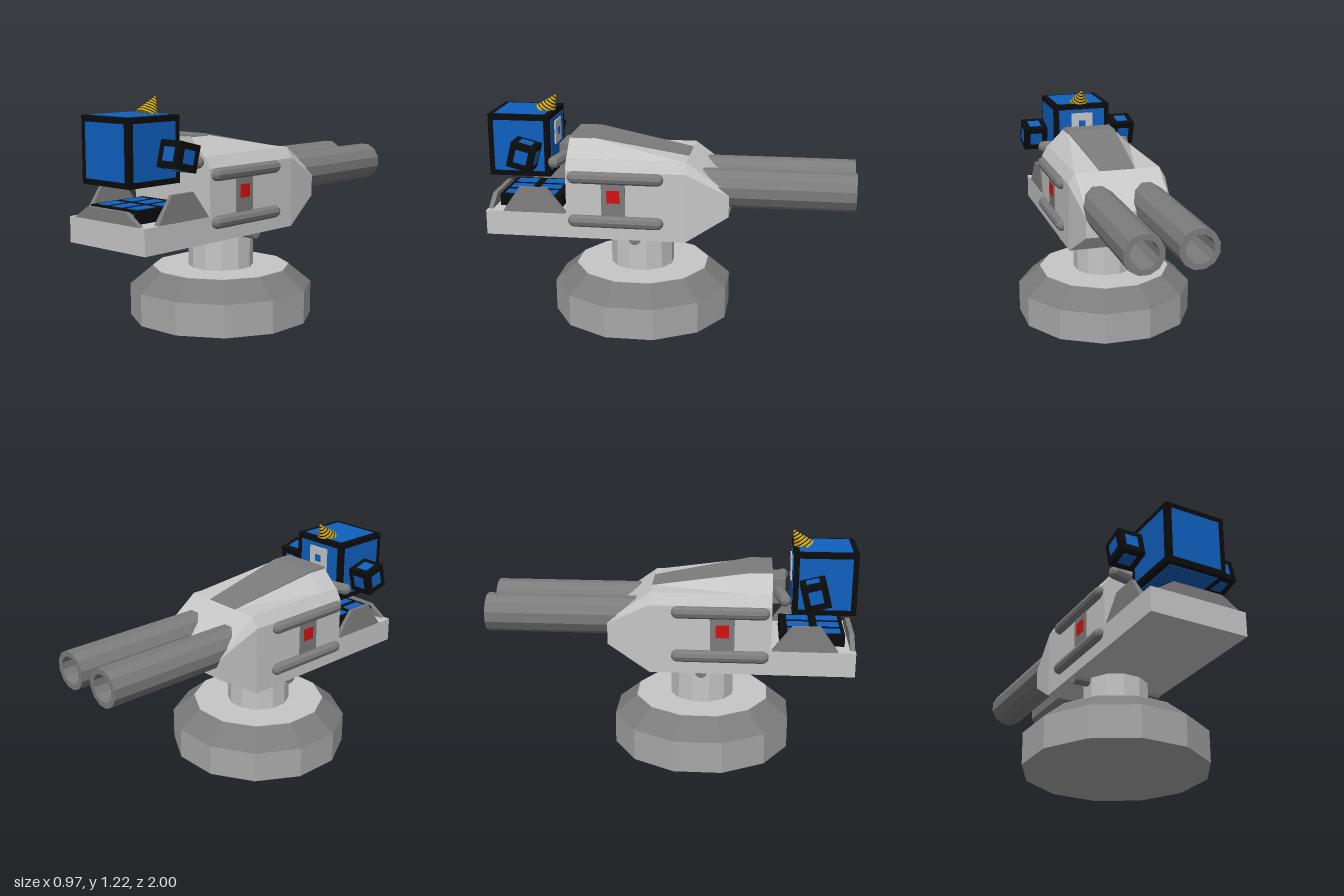
import * as THREE from 'three';

const mat = (name, color, side = THREE.FrontSide) => {
  const m = new THREE.MeshStandardMaterial({ color, flatShading: true, side });
  m.name = name;
  return m;
};

export function createModel() {
  const light = mat('light grey', 0xc6c6c6), mid = mat('mid grey', 0xa8a8a8);
  const dark = mat('dark grey', 0x7c7c7c, THREE.DoubleSide);
  const black = mat('black', 0x0c0c0c), blue = mat('blue', 0x0f60c0);
  const red = mat('red', 0xd41010), gold = mat('gold', 0xc4a010);
  const root = new THREE.Group();
  root.name = 'turret';

  const add = (name, geo, m, x = 0, y = 0, z = 0, parent = root) => {
    const mesh = new THREE.Mesh(geo, m);
    mesh.name = name;
    mesh.position.set(x, y, z);
    parent.add(mesh);
    return mesh;
  };
  const box = (name, w, h, d, m, x, y, z, parent) =>
    add(name, new THREE.BoxGeometry(w, h, d), m, x, y, z, parent);
  const drum = (name, rTop, rBottom, y0, y1, m) =>
    add(name, new THREE.CylinderGeometry(rTop, rBottom, y1 - y0, 12).rotateY(Math.PI / 12), m, 0, (y0 + y1) / 2, 0.175);

  // Skin over counter-clockwise outlines, ordered from back to front
  const loft = (sections) => {
    const pos = [], idx = [], n = sections[0].pts.length;
    sections.forEach(s => s.pts.forEach(([x, y]) => pos.push(x, y, s.z)));
    for (let i = 0; i < sections.length - 1; i++) for (let j = 0; j < n; j++) {
      const a = i * n + j, b = i * n + (j + 1) % n;
      idx.push(a, b, b + n, a, b + n, a + n);
    }
    const last = (sections.length - 1) * n;
    for (let j = 1; j < n - 1; j++) {
      idx.push(0, j + 1, j);
      idx.push(last, last + j, last + j + 1);
    }
    const g = new THREE.BufferGeometry();
    g.setAttribute('position', new THREE.Float32BufferAttribute(pos, 3));
    g.setIndex(idx);
    const flat = g.toNonIndexed();
    flat.computeVertexNormals();
    return flat;
  };
  const trapezoid = (z, w0, y0, w1, y1) => ({ z, pts: [[-w0, y0], [w0, y0], [w1, y1], [-w1, y1]] });

  // Pedestal
  drum('baseRim', 0.5, 0.5, 0, 0.175, mid);
  drum('baseSlope', 0.378, 0.5, 0.175, 0.275, dark);
  drum('baseTop', 0.376, 0.376, 0.27, 0.278, light);
  drum('column', 0.178, 0.178, 0.275, 0.49, light);
  add('pivotPin', new THREE.CylinderGeometry(0.033, 0.033, 0.52, 10).rotateZ(Math.PI / 2), dark, 0, 0.486, 0.178);

  // Gun housing with chamfered shoulders and a tapered back
  const hull = (z, w, y0, shoulder, t, y1) =>
    ({ z, pts: [[-w, y0], [w, y0], [w, shoulder], [t, y1], [-t, y1], [-w, shoulder]] });
  add('housing', loft([
    hull(-0.33, 0.24, 0.63, 0.745, 0.235, 0.76),
    hull(-0.10, 0.275, 0.487, 0.865, 0.24, 0.925),
    hull(0.55, 0.275, 0.487, 0.865, 0.24, 0.925)]), light);
  add('hump', loft([
    trapezoid(-0.10, 0.24, 0.92, 0.10, 0.925),
    trapezoid(0.43, 0.24, 0.92, 0.14, 1.02),
    trapezoid(0.55, 0.24, 0.92, 0.14, 1.02)]), light);
  add('humpCover', loft([
    trapezoid(-0.10, 0.10, 0.922, 0.10, 0.928),
    trapezoid(0.43, 0.145, 1.015, 0.14, 1.027),
    trapezoid(0.55, 0.145, 1.015, 0.14, 1.027)]), dark);

  // Cockpit tray with low front and side guards
  box('tray', 0.55, 0.135, 0.45, light, 0, 0.5545, 0.775);
  add('frontGuard', loft([
    trapezoid(0.972, 0.24, 0.62, 0.14, 0.685),
    trapezoid(0.998, 0.24, 0.62, 0.14, 0.685)]), dark);

  for (const s of [-1, 1]) {
    const side = s > 0 ? 'left' : 'right';
    const c = s * 0.256;
    const strip = (z, h, y) => ({ z, pts: [[c - 0.018, 0.62], [c + 0.018, 0.62], [c + h, y], [c - h, y]] });
    add(side + 'SideGuard', loft([
      strip(0.555, 0.017, 0.622), strip(0.66, 0.009, 0.76),
      strip(0.81, 0.009, 0.76), strip(0.905, 0.017, 0.622)]), dark);

    // Side rails, plate and red lamp
    for (const y of [0.832, 0.588])
      add(side + 'Rail', new THREE.CapsuleGeometry(0.034, 0.455, 4, 10).rotateX(Math.PI / 2), dark, s * 0.278, y, 0.278);
    box(side + 'Plate', 0.008, 0.19, 0.13, dark, s * 0.275, 0.71, 0.29);
    box(side + 'Lamp', 0.008, 0.07, 0.07, red, s * 0.279, 0.728, 0.29);

    // Hollow barrel, its axis along z
    const wall = [[0.105, 0], [0.105, 0.85], [0.075, 0.85], [0.075, 0.4], [0, 0.4]]
      .map(([r, y]) => new THREE.Vector2(r, y));
    add(side + 'Barrel', new THREE.LatheGeometry(wall, 12).rotateY(Math.PI / 12).rotateX(-Math.PI / 2),
      dark, s * 0.138, 0.765, -0.15);
  }

  // Bent control handle on its mount
  const bend = new THREE.CurvePath();
  const path = [[-0.25, 0.615], [-0.10, 0.588], [0.10, 0.588], [0.25, 0.615]]
    .map(([x, z]) => new THREE.Vector3(x, 0.902, z));
  for (let i = 0; i < 3; i++) bend.add(new THREE.LineCurve3(path[i], path[i + 1]));
  add('handle', new THREE.TubeGeometry(bend, 24, 0.033, 8), dark);
  for (const p of [path[0], path[3]])
    add('handleKnob', new THREE.SphereGeometry(0.033, 8, 6), dark, p.x, p.y, p.z);
  box('handleMount', 0.2, 0.135, 0.07, dark, 0, 0.902, 0.585);

  // Black cube with a blue panel on each face
  const panelCube = (name, size, panel, x, y, z) => {
    const g = new THREE.Group();
    g.name = name;
    g.position.set(x, y, z);
    root.add(g);
    box(name + 'Block', size, size, size, black, 0, 0, 0, g);
    const o = size / 2;
    for (const s of [-1, 1]) {
      box(name + 'Panel', 0.006, panel, panel, blue, s * o, 0, 0, g);
      box(name + 'Panel', panel, 0.006, panel, blue, 0, s * o, 0, g);
      box(name + 'Panel', panel, panel, 0.006, blue, 0, 0, s * o, g);
    }
    return g;
  };

  // Pilot: head, two hands and a low body
  panelCube('head', 0.34, 0.28, 0, 0.967, 0.828);
  for (const s of [-1, 1])
    panelCube(s > 0 ? 'leftHand' : 'rightHand', 0.137, 0.07, s * 0.275, 0.947, 0.77).rotation.x = -0.25;
  box('backBadge', 0.13, 0.13, 0.009, light, 0, 1.02, 0.652);
  box('backBadgeLight', 0.04, 0.04, 0.006, blue, 0, 1.02, 0.647);
  box('body', 0.344, 0.07, 0.35, black, 0, 0.653, 0.772);
  for (const x of [-0.11, 0, 0.11]) {
    box('bodyPanel', 0.075, 0.006, 0.12, blue, x, 0.688, 0.865);
    box('bodyPanel', 0.075, 0.006, 0.12, blue, x, 0.688, 0.70);
    box('bodyPanel', 0.075, 0.04, 0.006, blue, x, 0.653, 0.947);
  }

  // Banded horn leaning back
  const horn = new THREE.Group();
  horn.name = 'horn';
  horn.position.set(0, 1.128, 0.715);
  horn.rotation.x = -0.56;
  root.add(horn);
  const H = 0.114, R = 0.062, bands = 7;
  for (let i = 0; i < bands; i++) {
    const a = i / bands, m = (i + 0.72) / bands, b = (i + 1) / bands;
    for (const [t0, t1, col] of [[a, m, gold], [m, b, black]])
      add('hornBand', new THREE.CylinderGeometry(R * (1 - t1), R * (1 - t0), H * (t1 - t0), 16),
        col, 0, H * (t0 + t1) / 2, 0, horn);
  }
  return root;
}
